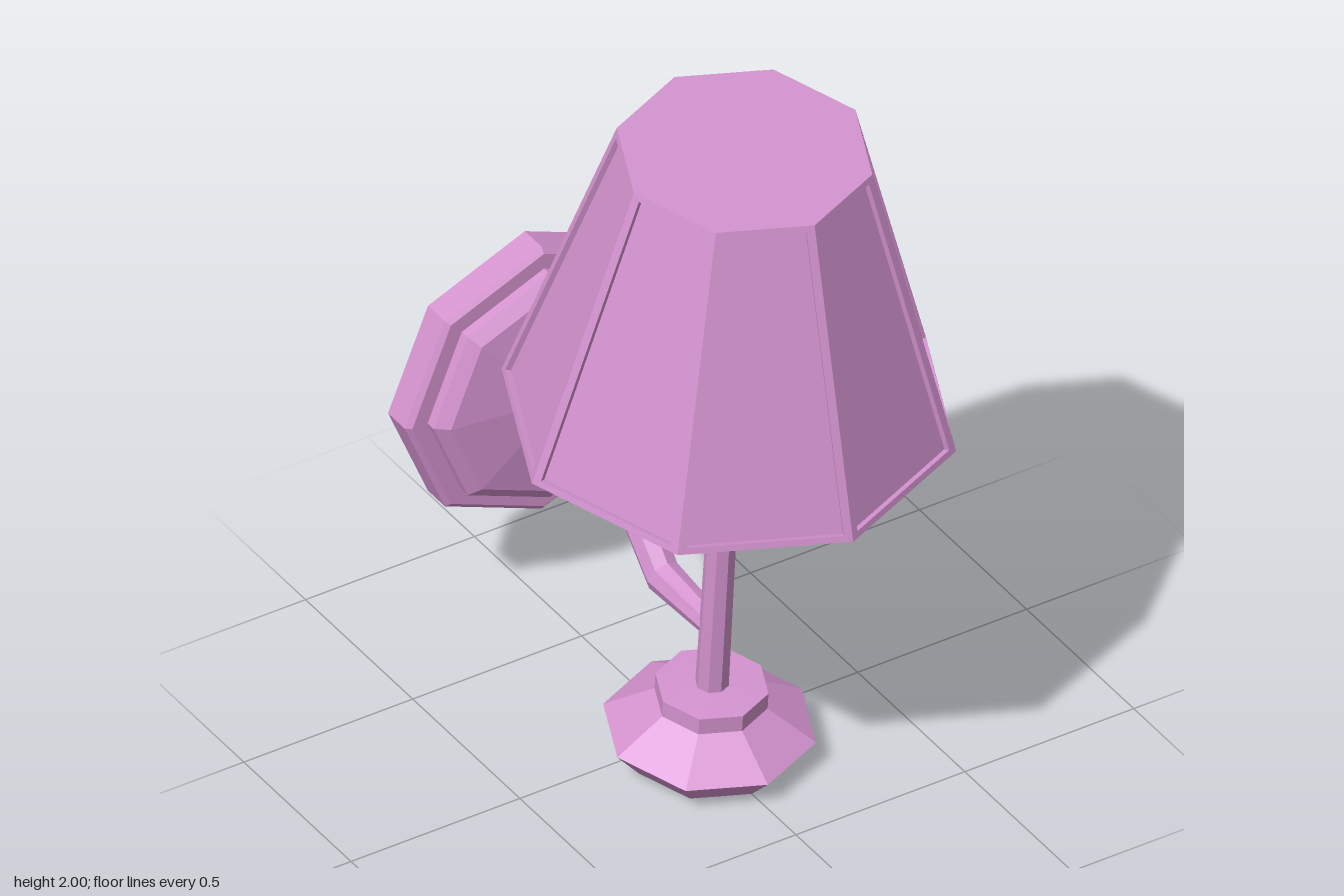
import * as THREE from 'three';

const SIDES = 8;
const material = new THREE.MeshStandardMaterial({ color: 0xd493cf, flatShading: true });

function mesh(name, geometry) {
  const m = new THREE.Mesh(geometry, material);
  m.name = name;
  return m;
}

// Octagonal turned part; profile is [radius, height] from bottom to top
function turned(name, profile) {
  return mesh(name, new THREE.LatheGeometry(profile.map(([r, y]) => new THREE.Vector2(r, y)), SIDES));
}

// Collects quads and triangles into a non-indexed geometry
function facesToGeometry(faces) {
  const pos = [];
  for (const f of faces) {
    for (let i = 1; i < f.length - 1; i++) {
      for (const p of [f[0], f[i], f[i + 1]]) pos.push(p.x, p.y, p.z);
    }
  }
  const g = new THREE.BufferGeometry();
  g.setAttribute('position', new THREE.Float32BufferAttribute(pos, 3));
  g.computeVertexNormals();
  return g;
}

// Closed shade: each side is a raised frame around a recessed panel
function shadeGeometry(y0, r0, y1, r1, rib, rim, depth) {
  const ring = (r, y) => Array.from({ length: SIDES }, (_, i) => {
    const a = (i / SIDES) * Math.PI * 2;
    return new THREE.Vector3(r * Math.sin(a), y, r * Math.cos(a));
  });
  const low = ring(r0, y0), high = ring(r1, y1);
  const faces = [[...high], [...low].reverse()];
  for (let i = 0; i < SIDES; i++) {
    const j = (i + 1) % SIDES;
    const outer = [low[i], low[j], high[j], high[i]];
    const normal = outer[1].clone().sub(outer[0]).cross(outer[3].clone().sub(outer[0])).normalize();
    // Point at height v, moved in from the left or right edge by the rib width
    const inset = (v, right) => {
      const a = low[i].clone().lerp(high[i], v), b = low[j].clone().lerp(high[j], v);
      const u = rib / a.distanceTo(b);
      return a.lerp(b, right ? 1 - u : u);
    };
    const inner = [inset(rim, false), inset(rim, true), inset(1 - rim, true), inset(1 - rim, false)];
    const sunk = inner.map((p) => p.clone().addScaledVector(normal, -depth));
    for (let k = 0; k < 4; k++) {
      const n = (k + 1) % 4;
      faces.push([outer[k], outer[n], inner[n], inner[k]]);
      faces.push([inner[k], inner[n], sunk[n], sunk[k]]);
    }
    faces.push(sunk);
  }
  return facesToGeometry(faces);
}

// Arm: octagonal sections [z, y, half width, half height, lean of the section]
function armGeometry(sections) {
  const rings = sections.map(([z, y, rx, ry, lean]) => Array.from({ length: SIDES }, (_, i) => {
    const a = (i / SIDES) * Math.PI * 2, up = Math.sin(a) * ry;
    return new THREE.Vector3(Math.cos(a) * rx, y + up * Math.cos(lean), z + up * Math.sin(lean));
  }));
  const faces = [rings[0], [...rings[rings.length - 1]].reverse()];
  for (let s = 0; s < rings.length - 1; s++) {
    for (let i = 0; i < SIDES; i++) {
      const j = (i + 1) % SIDES;
      faces.push([rings[s][i], rings[s + 1][i], rings[s + 1][j], rings[s][j]]);
    }
  }
  return facesToGeometry(faces);
}

export function createModel() {
  const model = new THREE.Group();
  model.name = 'wallLamp';

  // Lamp body leans slightly forward
  const lamp = new THREE.Group();
  lamp.name = 'lamp';
  lamp.position.set(0, 0.022, 0.09);
  lamp.rotation.x = THREE.MathUtils.degToRad(5);
  lamp.add(
    turned('base', [[0, 0], [0.205, 0], [0.273, 0.08], [0.14, 0.165], [0, 0.165]]),
    turned('collar', [[0.145, 0.155], [0.145, 0.21], [0, 0.215]]),
    turned('stem', [[0.043, 0.2], [0.038, 0.845], [0.088, 1.03], [0.07, 1.12]]),
    mesh('shade', shadeGeometry(1.107, 0.583, 1.956, 0.328, 0.022, 0.02, 0.015)),
  );
  model.add(lamp);

  // Bent arm from the stem to the wall plate
  model.add(mesh('arm', armGeometry([
    [0.11, 0.418, 0.036, 0.036, 0],
    [-0.12, 0.425, 0.046, 0.054, 0.38],
    [-0.355, 0.694, 0.056, 0.063, 0.3],
    [-0.62, 0.692, 0.06, 0.062, 0],
  ])));

  // Stepped plate against the wall
  const plate = turned('wallPlate', [
    [0, 0], [0.405, 0], [0.405, 0.078], [0.39, 0.09], [0.345, 0.09],
    [0.345, 0.118], [0.31, 0.145], [0.06, 0.175], [0, 0.175],
  ]);
  plate.rotation.x = Math.PI / 2;
  plate.position.set(0, 0.688, -0.765);
  model.add(plate);

  return model;
}
